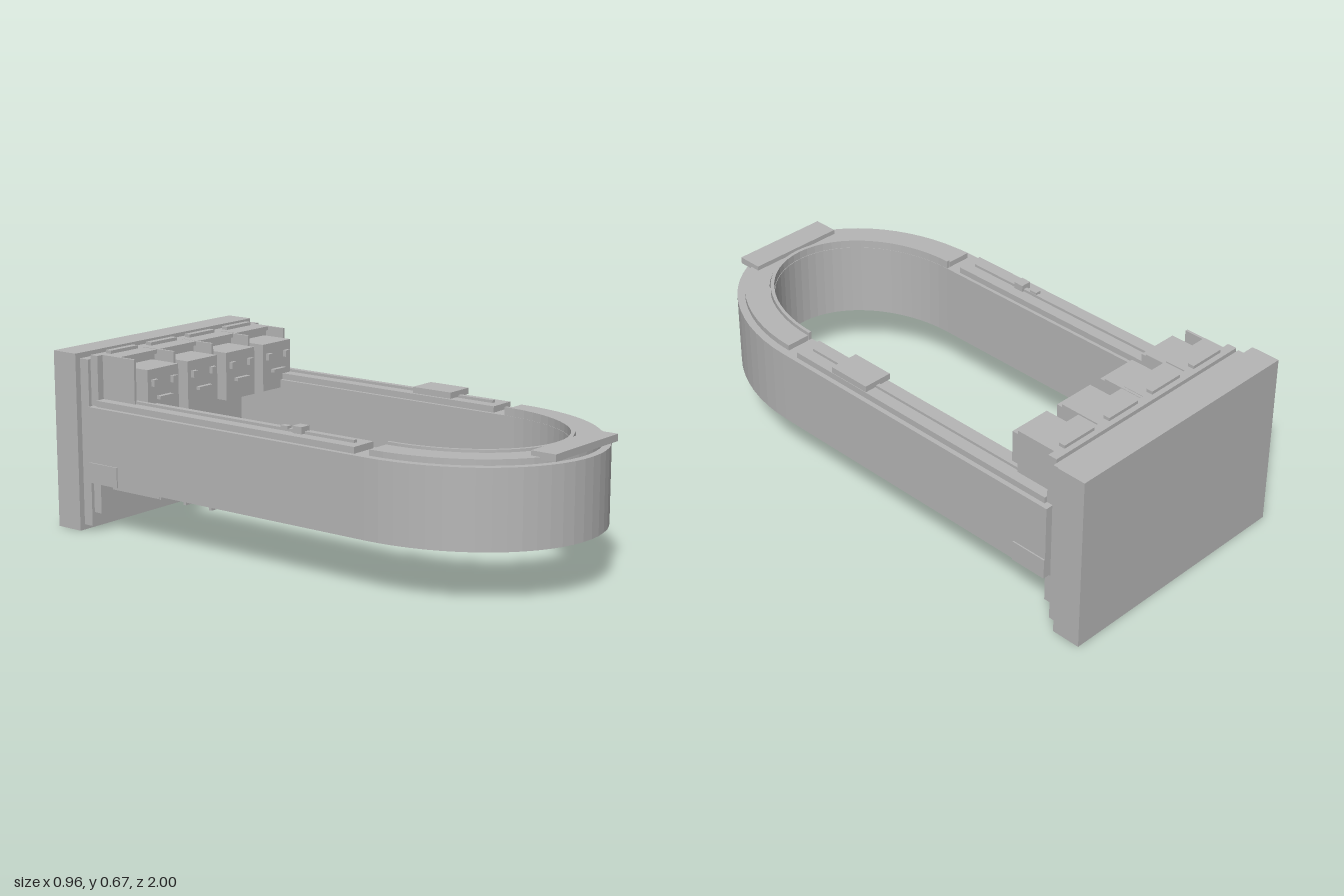
import * as THREE from 'three';

export function createModel() {
  const model = new THREE.Group();
  model.name = 'wallMountedLoop';
  const grey = new THREE.MeshStandardMaterial({ color: 0xb6b6b6 });
  grey.name = 'plainGrey';
  grey.flatShading = true;

  // Box given by its lower and upper limits on each axis
  function box(name, x0, x1, y0, y1, z0, z1, parent = model) {
    const mesh = new THREE.Mesh(new THREE.BoxGeometry(x1 - x0, y1 - y0, z1 - z0), grey);
    mesh.position.set((x0 + x1) / 2, (y0 + y1) / 2, (z0 + z1) / 2);
    mesh.name = name;
    parent.add(mesh);
    return mesh;
  }
  function pair(name, x0, x1, ...rest) {
    box(name + 'Left', x0, x1, ...rest);
    box(name + 'Right', -x1, -x0, ...rest);
  }

  // U-shaped band: half ellipses in front, straight legs running back to zBack
  const bendZ = 0.42;
  function uBand(name, outX, outZ, inX, inZ, y0, y1, zBack) {
    const arc = (rx, rz) => Array.from({ length: 33 }, (_, i) => {
      const a = (i / 32) * Math.PI;
      return new THREE.Vector2(rx * Math.cos(a), bendZ + rz * Math.sin(a));
    });
    const points = [...arc(outX, outZ), ...arc(inX, inZ).reverse()];
    if (zBack < bendZ) {
      points.splice(33, 0, new THREE.Vector2(-outX, zBack), new THREE.Vector2(-inX, zBack));
      points.push(new THREE.Vector2(inX, zBack), new THREE.Vector2(outX, zBack));
    }
    const geometry = new THREE.ExtrudeGeometry(new THREE.Shape(points), { depth: y1 - y0, bevelEnabled: false });
    geometry.rotateX(Math.PI / 2);
    const mesh = new THREE.Mesh(geometry, grey);
    mesh.position.y = y1;
    mesh.name = name;
    model.add(mesh);
  }

  // Stepped wall plate
  box('backPlate', -0.48, 0.48, 0, 0.66, -1, -0.89);
  box('middlePlate', -0.457, 0.457, 0.02, 0.64, -0.89, -0.85);
  box('frontPlate', -0.444, 0.444, 0.07, 0.655, -0.85, -0.815);

  // Loop with its curved cap and inner lip
  uBand('loop', 0.473, 0.58, 0.337, 0.44, 0.19, 0.47, -0.84);
  uBand('curvedCap', 0.445, 0.552, 0.354, 0.46, 0.47, 0.491, bendZ);
  uBand('innerLip', 0.35, 0.456, 0.338, 0.442, 0.47, 0.5, bendZ);
  box('frontTab', -0.19, 0.19, 0.483, 0.508, 0.88, 0.975);

  // Rails on the straight legs
  pair('rail', 0.35, 0.455, 0.47, 0.493, -0.815, 0.365);
  pair('railRidge', 0.394, 0.41, 0.493, 0.503, -0.815, 0.33);
  box('railSlider', 0.345, 0.457, 0.497, 0.52, 0.01, 0.18);
  box('largeLatch', -0.427, -0.385, 0.495, 0.52, 0.08, 0.12);
  box('smallLatch', -0.417, -0.395, 0.5, 0.512, 0.02, 0.05);

  // Brackets and ribs under the legs
  pair('sideBracket', 0.465, 0.478, 0.19, 0.265, -0.84, -0.7);
  pair('innerBracket', 0.327, 0.345, 0.19, 0.265, -0.84, -0.7);
  pair('underPlate', 0.33, 0.45, 0.183, 0.19, -0.84, -0.59);
  pair('underStrip', 0.43, 0.447, 0.172, 0.19, -0.75, -0.52);
  for (const z of [-0.28, -0.4, -0.52]) pair('underRib', 0.37, 0.445, 0.17, 0.192, z - 0.006, z + 0.006);

  // Row of four block heads, each with a hood and a cap
  for (const x of [-0.315, -0.105, 0.105, 0.315]) {
    const head = new THREE.Group();
    head.name = 'head';
    head.position.x = x;
    model.add(head);
    box('hood', -0.095, 0.095, 0.44, 0.642, -0.815, -0.745, head);
    box('hoodTop', -0.098, 0.098, 0.64, 0.655, -0.815, -0.735, head);
    box('cap', -0.07, 0.07, 0.65, 0.667, -0.83, -0.805, head);
    box('face', -0.08, 0.08, 0.44, 0.62, -0.75, -0.615, head);
    for (const side of [-1, 1]) {
      const e = side * 0.05;
      box('eye', e - 0.012, e + 0.012, 0.558, 0.583, -0.616, -0.6, head);
    }
    box('mouth', -0.035, 0.035, 0.508, 0.52, -0.616, -0.597, head);
  }

  // Thin dividers between the heads
  for (let i = -2; i <= 2; i++) box('divider', i * 0.206 - 0.005, i * 0.206 + 0.005, 0.44, 0.655, -0.815, -0.66);

  return model;
}
